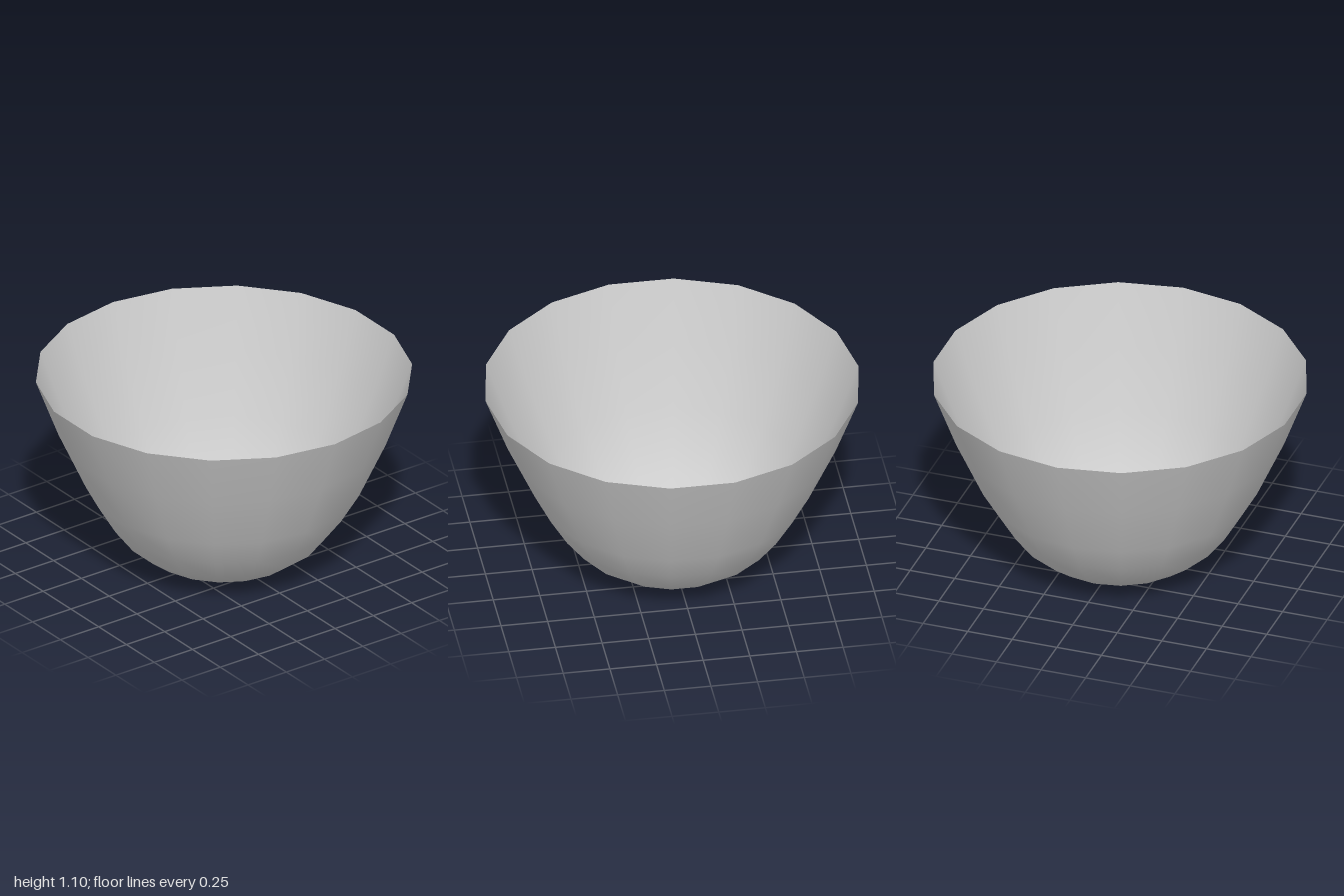
import * as THREE from 'three';

export function createModel() {
  const group = new THREE.Group();
  group.name = 'bowl';

  // Radius and height from the open base ring to the rim
  const profile = [
    [0.225, 0], [0.41, 0.065], [0.535, 0.16], [0.637, 0.295],
    [0.735, 0.46], [0.88, 0.78], [1, 1.1],
  ].map(([r, y]) => new THREE.Vector2(r, y));

  // Thin smooth shell with 18 sides, corners on the x axis
  const shell = new THREE.Mesh(
    new THREE.LatheGeometry(profile, 18, Math.PI / 2),
    new THREE.MeshStandardMaterial({ color: 0xcccccc, side: THREE.DoubleSide })
  );
  shell.name = 'bowlShell';
  group.add(shell);

  return group;
}
